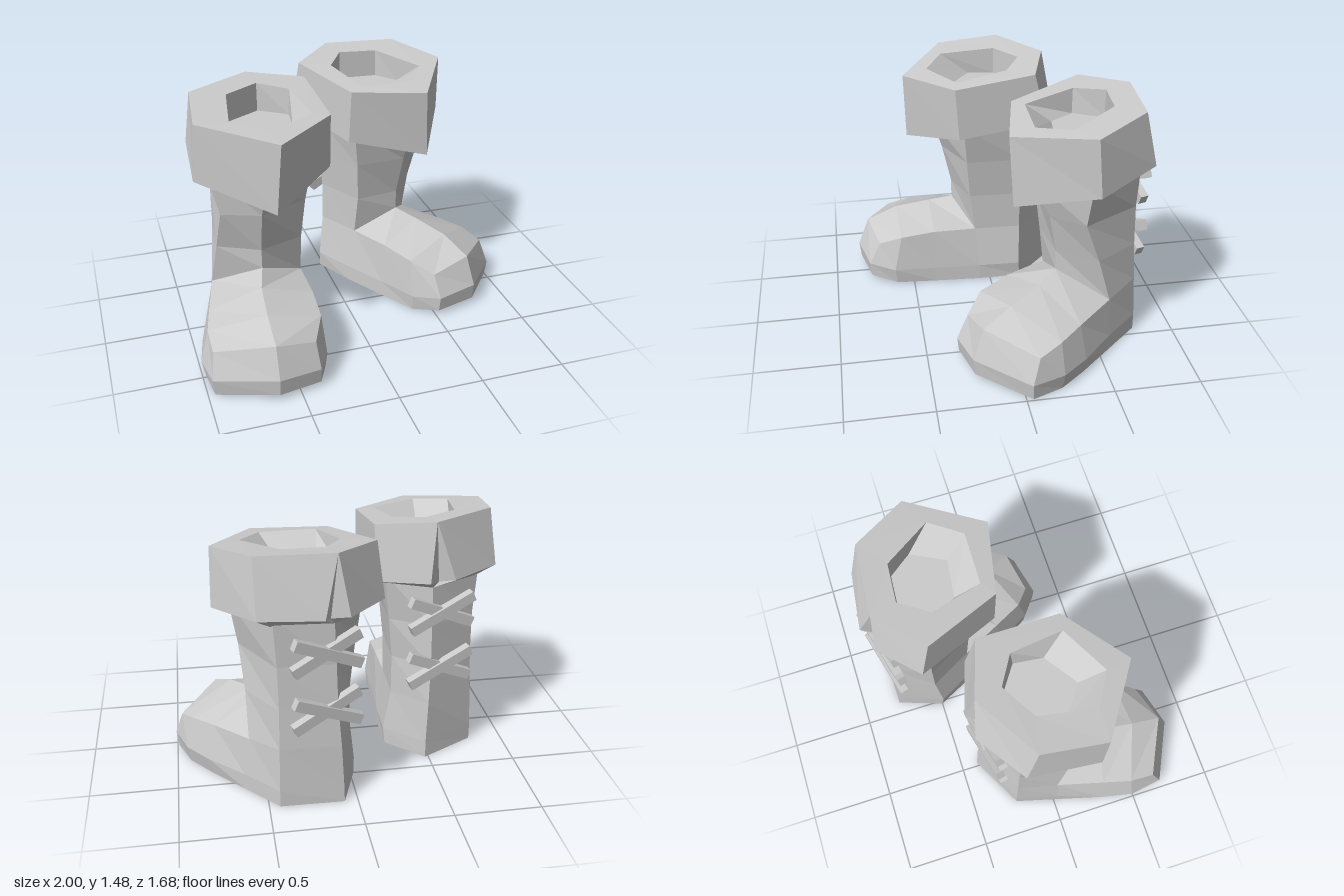
import * as THREE from 'three';

const material = new THREE.MeshStandardMaterial({ color: 0xcccccc, flatShading: true });
const next = (ring, i) => ring[(i + 1) % ring.length];

// Flat-shaded mesh from polygons; side = -1 mirrors it across x
function polyMesh(name, polys, side) {
  const pos = [];
  for (const poly of polys) {
    const p = side < 0 ? [...poly].reverse() : poly;
    for (let i = 1; i < p.length - 1; i++)
      for (const v of [p[0], p[i], p[i + 1]]) pos.push(v[0] * side, v[1], v[2]);
  }
  const geometry = new THREE.BufferGeometry();
  geometry.setAttribute('position', new THREE.Float32BufferAttribute(pos, 3));
  geometry.computeVertexNormals();
  const mesh = new THREE.Mesh(geometry, material);
  mesh.name = name;
  return mesh;
}

// Quads joining successive rings
function skin(rings) {
  const polys = [];
  for (let r = 0; r < rings.length - 1; r++) {
    const a = rings[r], b = rings[r + 1];
    a.forEach((p, i) => polys.push([p, b[i], next(b, i), next(a, i)]));
  }
  return polys;
}

// Foot: sole, welt and crease outlines run heel, outer side, toe, inner side
function footPolys() {
  const sole = [
    [.48, 0, -.4], [.8, 0, -.23], [.87, 0, .03], [.94, 0, .29], [.98, 0, .48], [.96, 0, .67],
    [.63, .04, .83], [.38, .03, .77], [.31, 0, .61], [.29, 0, .36], [.27, 0, .07], [.27, 0, -.2]];
  const welt = [
    [.48, .1, -.395], [.8, .1, -.23], [.87, .1, .03], [.96, .1, .29], [1, .1, .48], [.97, .1, .68],
    [.63, .14, .84], [.38, .12, .78], [.3, .1, .62], [.29, .1, .36], [.27, .1, .07], [.26, .1, -.19]];
  const crease = [
    [.49, .36, -.385], [.79, .36, -.22], [.84, .33, .02], [.91, .31, .3], [.95, .29, .47], [.95, .25, .62],
    [.63, .32, .77], [.39, .26, .71], [.32, .33, .57], [.31, .36, .36], [.31, .36, .09], [.3, .36, -.2]];
  const [, , o1, oa, o3, o4, toe, i4, i3, ia, i1] = crease;
  const instep = [.57, .48, .21], mid = [.61, .44, .36], front = [.63, .4, .58];
  const polys = skin([sole, welt, crease]);
  const centre = [.62, 0, .2];
  sole.forEach((p, i) => polys.push([centre, p, next(sole, i)]));
  // Upper of the foot, split along its ridge
  polys.push(
    [instep, mid, oa, o1], [mid, front, o3, oa], [front, toe, o4, o3],
    [instep, i1, ia, mid], [mid, ia, i3, front], [front, i3, i4, toe]);
  return polys;
}

// Six-sided leg: back, outer back, outer front, front, inner front, inner back
function shaftPolys() {
  return skin([
    [[.49, .36, -.385], [.79, .36, -.22], [.84, .33, .02], [.57, .48, .21], [.31, .36, .09], [.3, .36, -.2]],
    [[.5, .6, -.365], [.78, .6, -.21], [.81, .6, .09], [.57, .6, .21], [.31, .6, .12], [.3, .6, -.2]],
    [[.5, .85, -.35], [.78, .85, -.2], [.79, .85, .18], [.57, .85, .265], [.285, .85, .14], [.275, .85, -.21]],
    [[.5, 1.14, -.33], [.8, 1.14, -.2], [.84, 1.12, .18], [.55, 1.05, .33], [.24, 1.1, .16], [.24, 1.14, -.23]]]);
}

// Thick cuff with a notch at the back and a sunken opening
function cuffPolys() {
  const back = (p) => [p, p]; // doubled points close the notch at the top
  const under = [
    [.5, 1.08, -.33], [.79, 1.08, -.18], [.82, 1.06, .16], [.55, .96, .3],
    [.25, 1.04, .14], [.25, 1.1, -.22], ...back([.5, 1.08, -.33])];
  const bottom = [
    [.61, 1.15, -.407], [.9, 1.15, -.21], [.93, 1.09, .21], [.53, .96, .49],
    [.15, 1.07, .2], [.17, 1.14, -.335], [.462, 1.14, -.425], [.53, 1.12, -.34]];
  const top = [
    [.5, 1.48, -.365], [.87, 1.475, -.14], [.91, 1.43, .23], [.5, 1.37, .5],
    [.15, 1.39, .22], [.17, 1.45, -.26], ...back([.5, 1.48, -.365])];
  const rim = [
    [.47, 1.46, -.21], [.67, 1.455, -.09], [.72, 1.42, .24], [.53, 1.395, .35],
    [.25, 1.4, .2], [.3, 1.44, -.11], ...back([.47, 1.46, -.21])];
  const floor = [
    [.47, 1.29, -.21], [.67, 1.29, -.09], [.7, 1.29, .07], [.52, 1.29, .2],
    [.33, 1.29, .07], [.31, 1.29, -.1], ...back([.47, 1.29, -.21])];
  const polys = skin([under, bottom, top, rim, floor]);
  const centre = [.5, 1.29, .01];
  floor.forEach((p, i) => polys.push([centre, next(floor, i), p]));
  return polys;
}

// Two crossed pairs of straps on the back of the leg
function makeLaces(side) {
  const laces = new THREE.Group();
  laces.name = 'laces';
  for (const y of [.585, .93])
    for (const tilt of [-1, 1]) {
      const strap = new THREE.Mesh(new THREE.BoxGeometry(.42, .06, .05), material);
      strap.name = 'laceStrap';
      strap.position.set(.555 * side, y, tilt > 0 ? -.35 : -.335);
      strap.rotation.set(0, -.2 * side, tilt * side * .42);
      laces.add(strap);
    }
  return laces;
}

function makeBoot(name, side) {
  const boot = new THREE.Group();
  boot.name = name;
  boot.add(
    polyMesh('foot', footPolys(), side),
    polyMesh('shaft', shaftPolys(), side),
    polyMesh('cuff', cuffPolys(), side),
    makeLaces(side));
  return boot;
}

export function createModel() {
  const model = new THREE.Group();
  model.name = 'boots';
  const left = makeBoot('leftBoot', 1);
  left.rotation.y = THREE.MathUtils.degToRad(27);
  left.position.set(-.17, 0, -.2);
  model.add(left, makeBoot('rightBoot', -1));
  return model;
}
